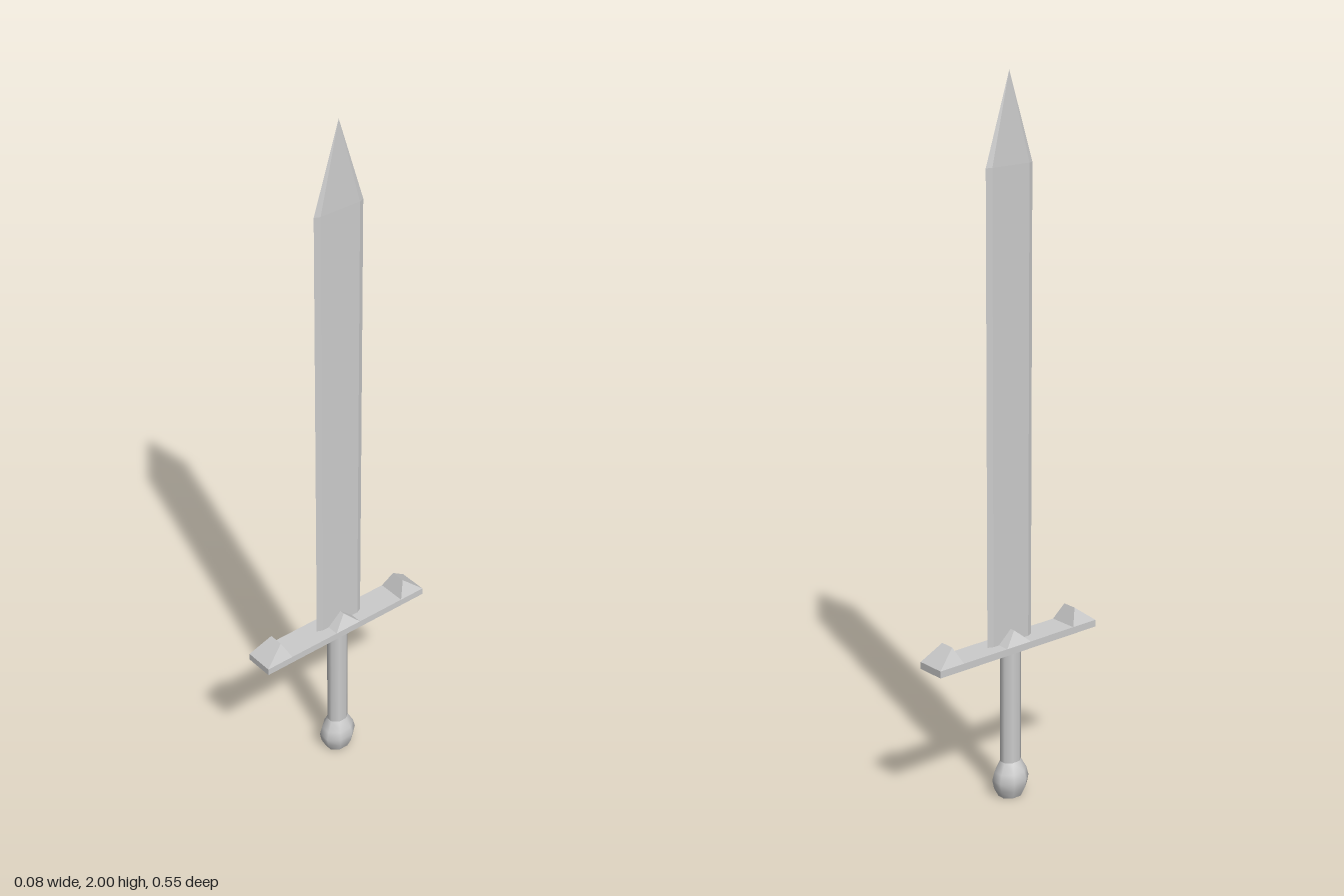
import * as THREE from 'three';
import { ConvexGeometry } from 'three/addons/geometries/ConvexGeometry.js';

const material = new THREE.MeshStandardMaterial({ color: 0xcccccc });
const flatMaterial = new THREE.MeshStandardMaterial({ color: 0xcccccc, flatShading: true });
const V = (x, y, z) => new THREE.Vector3(x, y, z);

export function createModel() {
  const sword = new THREE.Group();
  sword.name = 'sword';
  const add = (parent, name, geometry, mat = flatMaterial) => {
    const mesh = new THREE.Mesh(geometry, mat);
    mesh.name = name;
    parent.add(mesh);
    return mesh;
  };

  // Blade: flat hexagonal section, drawn to a point
  const zc = -0.004;
  const bladePoints = [V(0, 2, zc)];
  for (const y of [0.45, 1.76]) {
    for (const s of [-1, 1]) {
      bladePoints.push(V(0, y, zc + s * 0.078));
      for (const x of [-0.007, 0.007]) bladePoints.push(V(x, y, zc + s * 0.062));
    }
  }
  add(sword, 'blade', new ConvexGeometry(bladePoints));

  // Crossguard: flat bar with three hipped ridges on top
  const guard = new THREE.Group();
  guard.name = 'crossguard';
  sword.add(guard);
  add(guard, 'guardBar', new THREE.BoxGeometry(0.084, 0.02, 0.554)).position.set(0, 0.45, -0.001);

  const ridge = (name, z0, z1, peakZ, peakY) => {
    const points = [];
    for (const x of [-1, 1]) {
      points.push(V(x * 0.042, 0.46, z0), V(x * 0.042, 0.46, z1), V(x * 0.021, peakY, peakZ));
    }
    add(guard, name, new ConvexGeometry(points));
  };
  ridge('backRidge', -0.278, -0.198, -0.221, 0.506);
  ridge('middleRidge', -0.047, 0.037, -0.005, 0.497);
  ridge('frontRidge', 0.193, 0.276, 0.216, 0.506);

  // Grip and pommel: eight-sided, slightly deeper than wide
  const turned = (name, profile) => {
    const points = profile.map(([r, y]) => new THREE.Vector2(r / Math.cos(Math.PI / 8), y));
    const mesh = add(sword, name, new THREE.LatheGeometry(points, 8, Math.PI / 8), material);
    mesh.scale.z = 1.22;
    return mesh;
  };
  turned('grip', [[0.024, 0.1], [0.024, 0.445]]);
  turned('pommel', [[0.028, 0], [0.038, 0.025], [0.042, 0.05], [0.037, 0.075], [0.024, 0.105]]);
  turned('pommelBase', [[0, 0], [0.028, 0]]);

  return sword;
}
